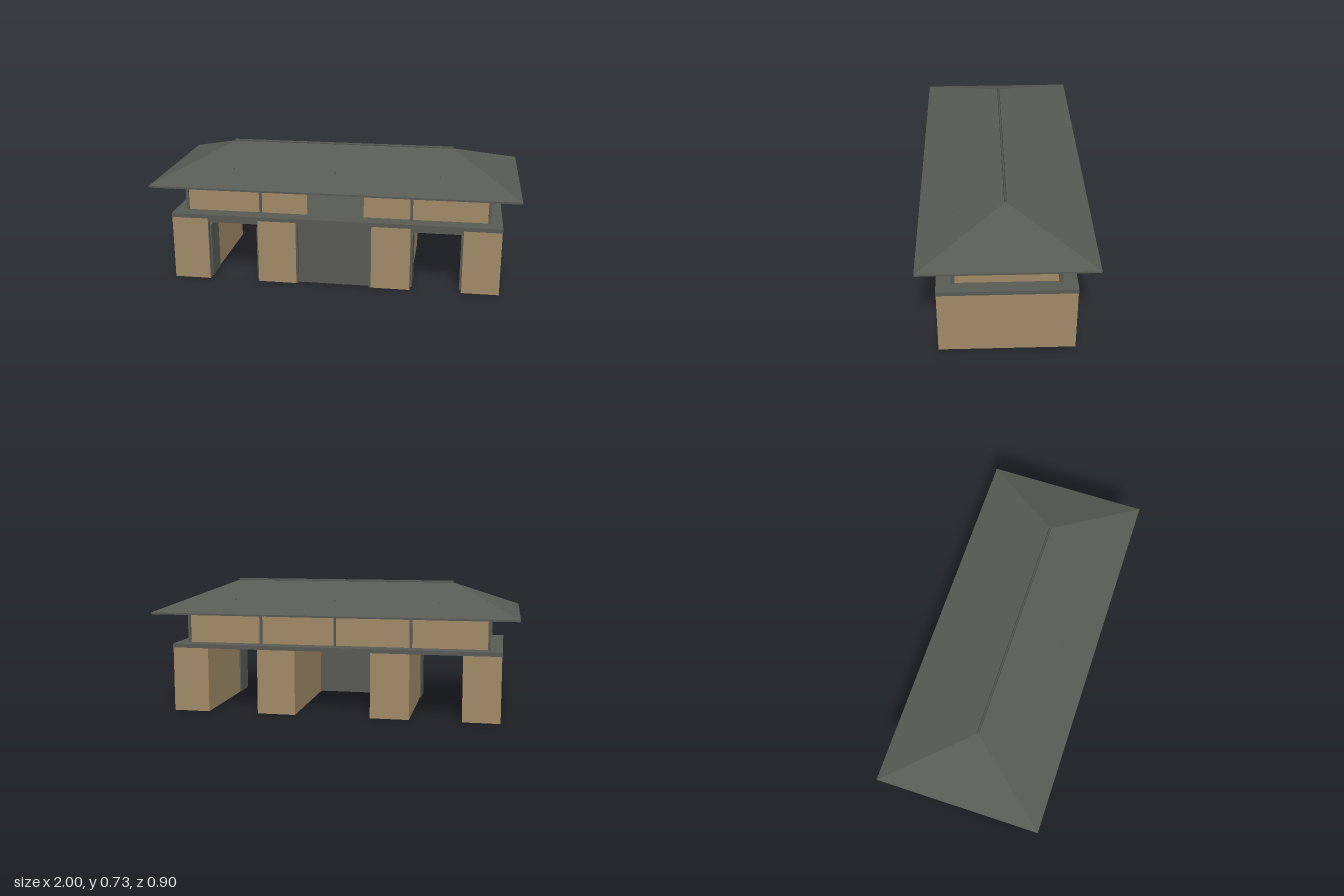
import * as THREE from 'three';

export function createModel() {
  const model = new THREE.Group();
  const timber = new THREE.MeshStandardMaterial({ color: 0xa08966 });
  timber.name = 'tan wall';
  const slate = new THREE.MeshStandardMaterial({ color: 0x585a54 });
  slate.name = 'dark grey';
  const roofGrey = new THREE.MeshStandardMaterial({ color: 0x585a54, side: THREE.DoubleSide });
  roofGrey.name = 'roof grey';

  // box given by its minimum and maximum on each axis
  function box(name, mat, x0, x1, y0, y1, z0, z1, parent = model) {
    const mesh = new THREE.Mesh(new THREE.BoxGeometry(x1 - x0, y1 - y0, z1 - z0), mat);
    mesh.position.set((x0 + x1) / 2, (y0 + y1) / 2, (z0 + z1) / 2);
    mesh.name = name;
    parent.add(mesh);
    return mesh;
  }

  // four long piers carrying the upper floor
  for (const [x0, x1] of [[-0.912, -0.708], [-0.424, -0.21], [0.21, 0.424], [0.708, 0.912]]) {
    box('pier', timber, x0, x1, 0, 0.36, -0.355, 0.355);
  }
  box('floorSlab', slate, -0.914, 0.914, 0.36, 0.382, -0.357, 0.357);

  // closed central gate: two leaves, jambs and lintel
  for (const s of [-1, 1]) {
    box('centralGateLeaf', slate, Math.min(0, s * 0.2), Math.max(0, s * 0.2), 0.002, 0.338, 0.325, 0.337);
    box('centralJamb', slate, s * 0.205 - 0.006, s * 0.205 + 0.006, 0, 0.338, 0.325, 0.352);
  }
  box('centralLintel', slate, -0.21, 0.21, 0.338, 0.36, 0.325, 0.353);

  // side gateways with their leaves swung inwards against the piers
  for (const s of [-1, 1]) {
    const gate = new THREE.Group();
    gate.name = 'sideGate';
    model.add(gate);
    const lo = Math.min(s * 0.424, s * 0.708), hi = Math.max(s * 0.424, s * 0.708);
    box('sideLintel', slate, lo, hi, 0.338, 0.36, 0.325, 0.353, gate);
    for (const x of [lo, hi]) {
      const d = x === lo ? 1 : -1;
      box('sideJamb', slate, x - 0.004, x + 0.004, 0, 0.338, 0.325, 0.353, gate);
      box('openGateLeaf', slate, x + d * 0.008 - 0.004, x + d * 0.008 + 0.004, 0.01, 0.312, 0.195, 0.335, gate);
    }
  }

  // upper walls; the front one has a central opening
  const front = new THREE.Shape([[-0.84, 0.382], [-0.158, 0.382], [-0.158, 0.53], [0.158, 0.53],
    [0.158, 0.382], [0.84, 0.382], [0.84, 0.56], [-0.84, 0.56]].map(p => new THREE.Vector2(...p)));
  const frontWall = new THREE.Mesh(
    new THREE.ExtrudeGeometry(front, { depth: 0.012, bevelEnabled: false }), timber);
  frontWall.position.z = 0.26;
  frontWall.name = 'frontUpperWall';
  model.add(frontWall);
  box('backUpperWall', timber, -0.84, 0.84, 0.382, 0.56, -0.272, -0.26);
  for (const s of [-1, 1]) {
    box('endUpperWall', timber, s * 0.834 - 0.006, s * 0.834 + 0.006, 0.382, 0.56, -0.26, 0.26);
  }

  // posts and the beams joining their tops under the hollow roof
  for (const s of [-1, 1]) {
    for (const x of [-0.843, -0.422, 0.422, 0.843]) {
      box('post', slate, x - 0.007, x + 0.007, 0.382, 0.615, s * 0.272 - 0.011, s * 0.272 + 0.011);
    }
    box('wallBeam', slate, -0.843, 0.843, 0.602, 0.614, s * 0.272 - 0.006, s * 0.272 + 0.006);
    box('endBeam', slate, s * 0.838 - 0.006, s * 0.838 + 0.006, 0.602, 0.614, -0.272, 0.272);
  }
  box('backMiddlePost', slate, -0.006, 0.006, 0.382, 0.615, -0.283, -0.256);

  // hipped roof shell
  const c = [[-1, 0.566, 0.447], [1, 0.566, 0.447], [1, 0.566, -0.447], [-1, 0.566, -0.447]];
  const L = [-0.63, 0.722, 0], R = [0.63, 0.722, 0];
  const tris = [c[0], c[1], R, c[0], R, L, c[2], c[3], L, c[2], L, R, c[1], c[2], R, c[3], c[0], L];
  const shell = new THREE.BufferGeometry();
  shell.setAttribute('position', new THREE.Float32BufferAttribute(tris.flat(), 3));
  shell.computeVertexNormals();
  const roof = new THREE.Mesh(shell, roofGrey);
  roof.name = 'hipRoof';
  model.add(roof);

  // eave edge, ridge and small strut tips
  for (const s of [-1, 1]) {
    box('longEave', slate, -1, 1, 0.556, 0.566, s * 0.444 - 0.004, s * 0.444 + 0.004);
    box('endEave', slate, s * 0.996 - 0.004, s * 0.996 + 0.004, 0.556, 0.566, -0.44, 0.44);
    for (const x of [-0.57, 0, 0.57]) {
      box('strutTip', slate, x - 0.003, x + 0.003, 0.605, 0.633, s * 0.265 - 0.008, s * 0.265 + 0.008);
    }
  }
  const ridge = new THREE.Mesh(new THREE.CylinderGeometry(0.007, 0.007, 1.26, 4), slate);
  ridge.rotation.z = Math.PI / 2;
  ridge.position.y = 0.725;
  ridge.name = 'ridgeBeam';
  model.add(ridge);

  return model;
}
